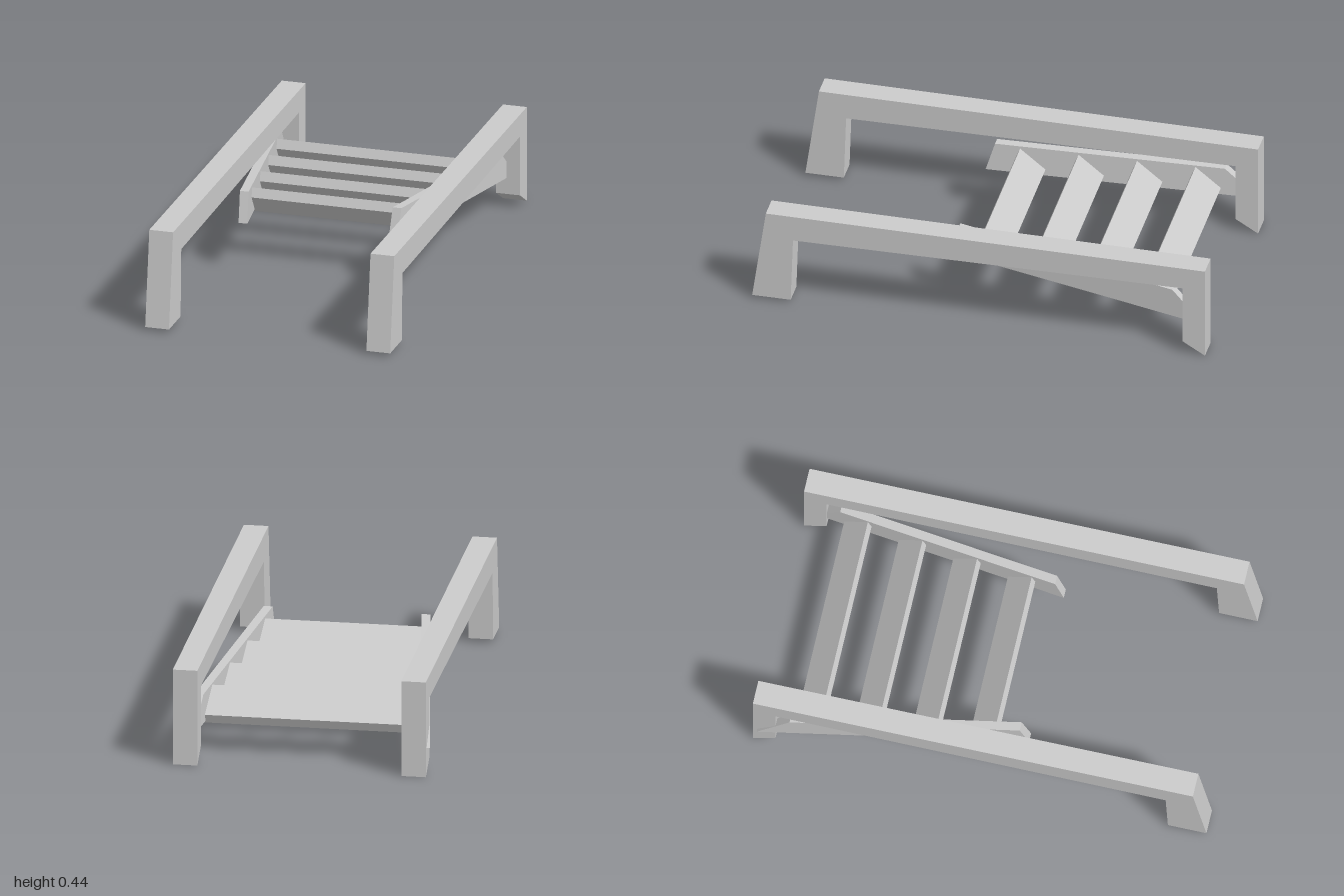
import * as THREE from 'three';

const material = new THREE.MeshStandardMaterial({ color: 0xcccccc, flatShading: true });

// Prism with a [z, y] side profile, running between two x limits that may vary with z
function prism(name, profile, xMin, xMax) {
  const shape = new THREE.Shape(profile.map(([z, y]) => new THREE.Vector2(-z, y)));
  const geometry = new THREE.ExtrudeGeometry(shape, { depth: 1, bevelEnabled: false });
  const p = geometry.attributes.position;
  for (let i = 0; i < p.count; i++) {
    const z = -p.getX(i);
    p.setXYZ(i, THREE.MathUtils.lerp(xMin(z), xMax(z), p.getZ(i)), p.getY(i), z);
  }
  geometry.computeVertexNormals();
  const mesh = new THREE.Mesh(geometry, material);
  mesh.name = name;
  return mesh;
}

export function createModel() {
  const group = new THREE.Group();
  group.name = 'ladderFrame';

  // Side rails, each with a front and a rear leg in one piece
  const rail = [
    [1, 0.015], [0.94, 0.44], [-1, 0.43], [-1, 0],
    [-0.9, 0.06], [-0.9, 0.33], [0.82, 0.32], [0.83, 0.015],
  ];
  group.add(prism('rightRail', rail, () => -0.545, () => -0.438));
  group.add(prism('leftRail', rail, () => 0.45, () => 0.557));

  // Stringers, converging towards the front
  const stringer = [[0.18, 0.218], [0.14, 0.35], [-0.84, 0.27], [-0.98, 0.127]];
  const rightInner = z => -0.338 - 0.157 * (0.18 - z);
  const leftInner = z => 0.298 + 0.148 * (0.18 - z);
  group.add(prism('rightStringer', stringer, z => rightInner(z) - 0.039, rightInner));
  group.add(prism('leftStringer', stringer, leftInner, z => leftInner(z) + 0.039));

  // Tilted treads, stepping down towards the back
  const tread = [[0.05, 0.29], [0.033, 0.33], [-0.075, 0.228], [-0.058, 0.188]];
  for (let i = 0; i < 4; i++) {
    const profile = tread.map(([z, y]) => [z - 0.249 * i, y - 0.019 * i]);
    group.add(prism(`tread${i + 1}`, profile, z => rightInner(z) - 0.01, z => leftInner(z) + 0.01));
  }
  return group;
}
